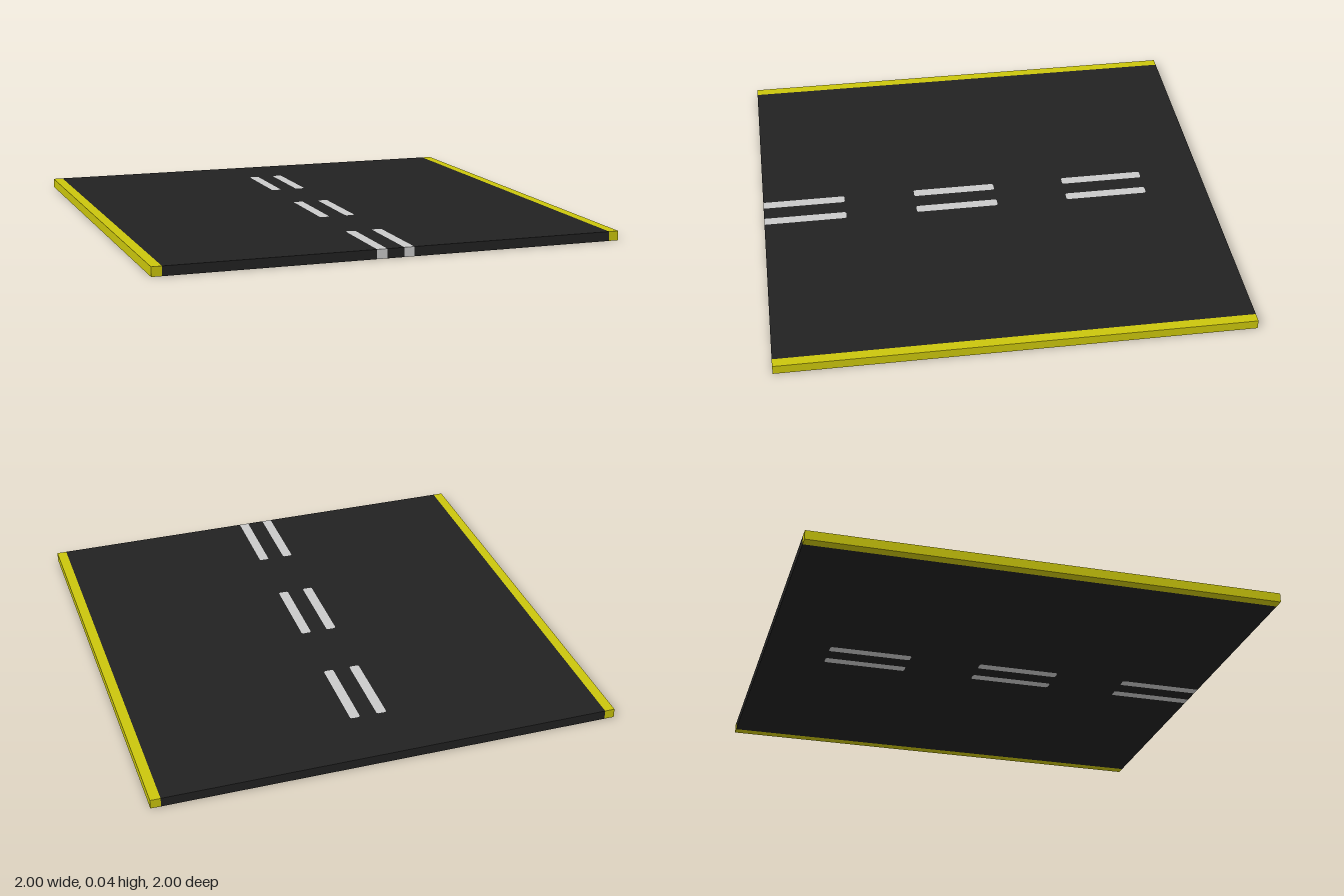
import * as THREE from 'three';

const THICKNESS = 0.04;
const EDGE = 0.957;            // inner side of the kerb lines
const IN = 0.037, OUT = 0.08;  // dash sides, measured from the centre line
const CUT = 0.006;             // small corner cut on the dash ends
const DASHES = [[-0.725, -0.36], [-0.045, 0.32], [0.635, 1]];

// Outline of one dash as [x, z] points; a dash reaching the road end stays square there
function dashOutline(x0, x1, z0, z1) {
  const c = z1 >= 1 ? 0 : CUT;
  return [
    [x0, z0 + CUT], [x0 + CUT, z0], [x1 - CUT, z0], [x1, z0 + CUT],
    [x1, z1 - c], [x1 - c, z1], [x0 + c, z1], [x0, z1 - c],
  ].map(([x, z]) => new THREE.Vector2(x, -z));
}

// Extrude a flat plan upward from y = 0
function slab(shape) {
  const geometry = new THREE.ExtrudeGeometry(shape, { depth: THICKNESS, bevelEnabled: false });
  return geometry.rotateX(-Math.PI / 2);
}

export function createModel() {
  const model = new THREE.Group();
  model.name = 'roadTile';

  const asphalt = new THREE.MeshStandardMaterial({ color: 0x222222 });
  asphalt.name = 'asphalt';
  const yellow = new THREE.MeshStandardMaterial({ color: 0xcbc60c });
  yellow.name = 'yellowPaint';
  const white = new THREE.MeshStandardMaterial({ color: 0xcacaca });
  white.name = 'whitePaint';

  const add = (geometry, material, name) => {
    const mesh = new THREE.Mesh(geometry, material);
    mesh.name = name;
    model.add(mesh);
    return mesh;
  };

  // Road surface: notched at the front for the last dashes, holes for the others
  const [notchBack] = DASHES[2];
  const notch = (x0, x1) => [
    [x0, 1], [x0, notchBack + CUT], [x0 + CUT, notchBack],
    [x1 - CUT, notchBack], [x1, notchBack + CUT], [x1, 1],
  ];
  const plan = [
    [-EDGE, 1], ...notch(-OUT, -IN), ...notch(IN, OUT),
    [EDGE, 1], [EDGE, -1], [-EDGE, -1],
  ];
  const road = new THREE.Shape(plan.map(([x, z]) => new THREE.Vector2(x, -z)));

  // Twin centre-line dashes, inlaid through the full thickness
  for (const [x0, x1, side] of [[-OUT, -IN, 'right'], [IN, OUT, 'left']]) {
    DASHES.forEach(([z0, z1], i) => {
      const outline = dashOutline(x0, x1, z0, z1);
      if (z1 < 1) road.holes.push(new THREE.Path(outline));
      add(slab(new THREE.Shape(outline)), white, `${side}Dash${i + 1}`);
    });
  }
  add(slab(road), asphalt, 'roadSurface');

  // Yellow edge lines along both sides
  for (const s of [-1, 1]) {
    const line = add(new THREE.BoxGeometry(1 - EDGE, THICKNESS, 2), yellow, s > 0 ? 'leftEdgeLine' : 'rightEdgeLine');
    line.position.set(s * (1 + EDGE) / 2, THICKNESS / 2, 0);
  }

  return model;
}
